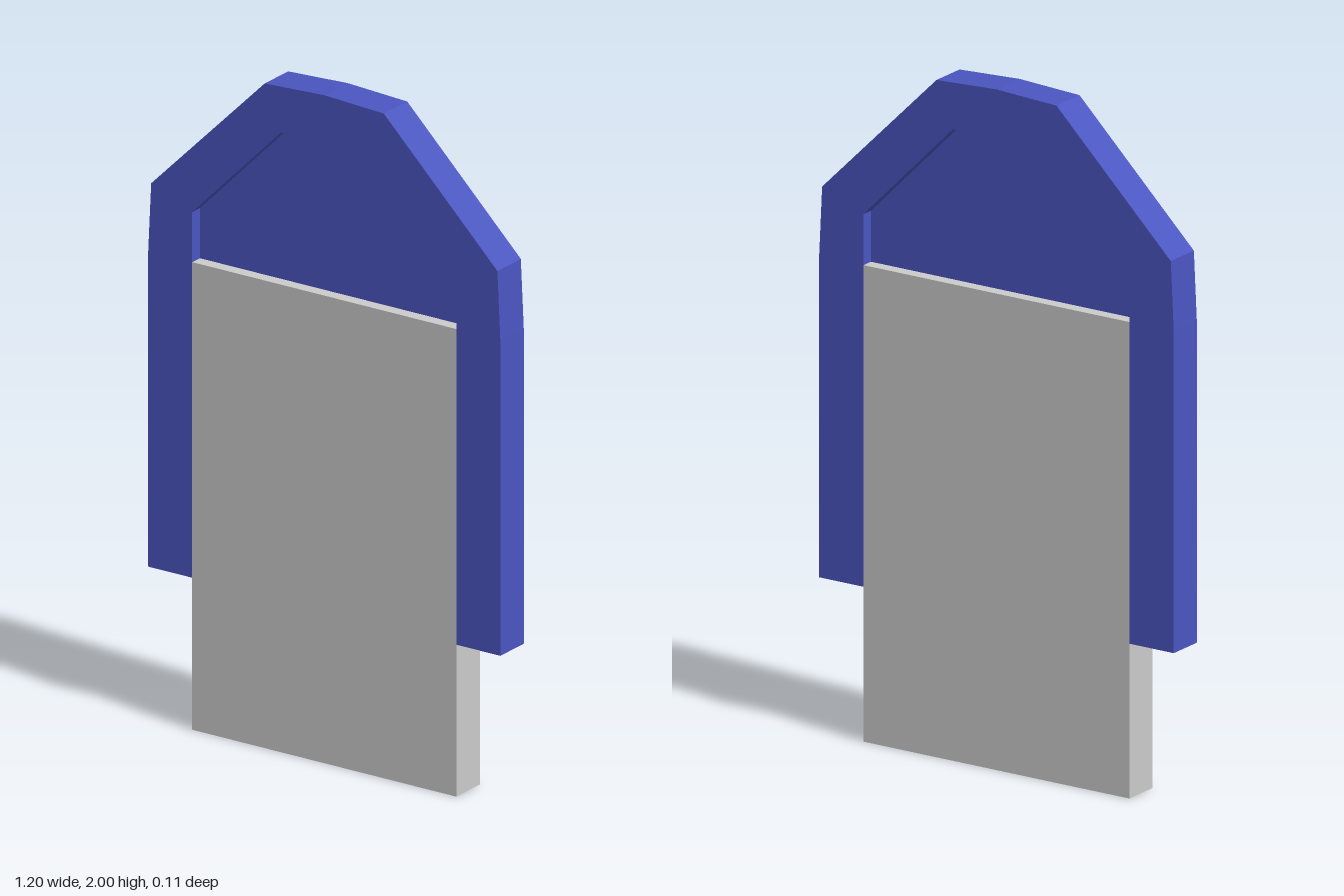
import * as THREE from 'three';

const DEPTH = 0.114; // thickness of frame and slab
const WEB = 0.04; // thickness of the recessed panel

// Extrude an outline given by its right half (bottom to top), mirrored in x and centred on z = 0
function plate(name, points, depth, material) {
  const shape = new THREE.Shape(points.map(([x, y]) => new THREE.Vector2(x, y)));
  const geometry = new THREE.ExtrudeGeometry(shape, { depth, bevelEnabled: false });
  geometry.translate(0, 0, -depth / 2);
  const mesh = new THREE.Mesh(geometry, material);
  mesh.name = name;
  return mesh;
}

const mirror = (points) => points.map(([x, y]) => [-x, y]).reverse();

export function createModel() {
  const group = new THREE.Group();
  group.name = 'cappedSlab';
  const blue = new THREE.MeshStandardMaterial({ color: 0x4a55c0, flatShading: true });
  const grey = new THREE.MeshStandardMaterial({ color: 0xcccccc, flatShading: true });

  // Arched frame: outer edge on the right, then the left, then back along the inner edge
  const outer = [[0.6, 0.455], [0.6, 1.4], [0.59, 1.605], [0.203, 1.99]];
  const inner = [[0.45, 0.455], [0.45, 1.55], [0.148, 1.855]];
  group.add(plate('archFrame',
    [...outer, [0, 2], ...mirror(outer), ...mirror(inner).reverse(), ...inner.slice().reverse()],
    DEPTH, blue));

  // Thin panel recessed on both faces, closing the top of the arch
  const panel = [[0.45, 1.4], [0.45, 1.55], [0.148, 1.855]];
  group.add(plate('recessedPanel', [...panel, ...mirror(panel)], WEB, blue));

  // Grey slab held between the legs of the frame
  const slab = new THREE.Mesh(new THREE.BoxGeometry(0.9, 1.4, DEPTH), grey);
  slab.name = 'slab';
  slab.position.y = 0.7;
  group.add(slab);

  return group;
}
